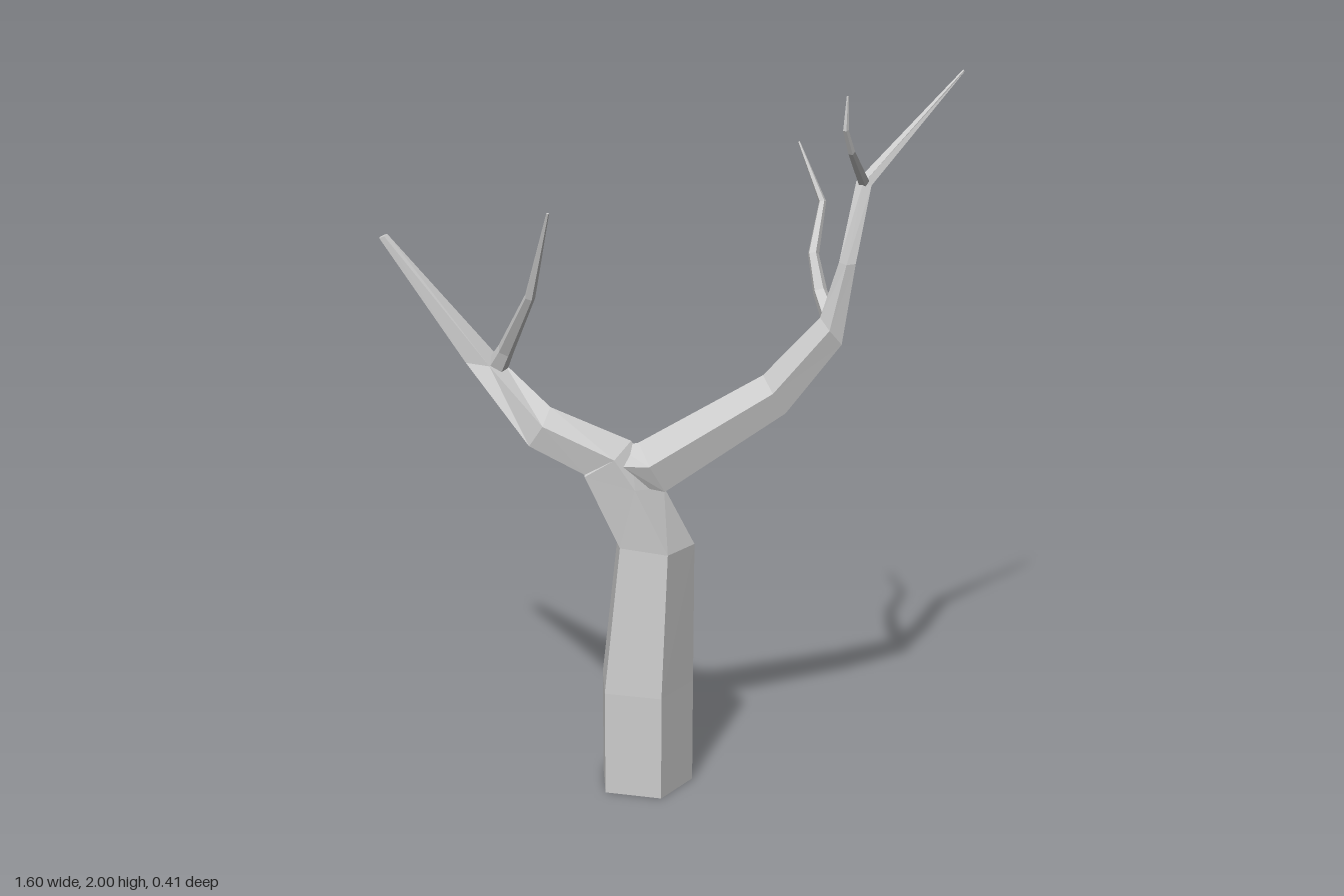
import * as THREE from 'three';

const SIDES = 5;
const material = new THREE.MeshStandardMaterial({ color: 0xcccccc, flatShading: true });

// Joins rings of five points into a closed, faceted limb
function skin(name, rings) {
  const points = rings.flat();
  const index = [];
  const last = (rings.length - 1) * SIDES;
  for (let i = 0; i < rings.length - 1; i++) {
    for (let j = 0; j < SIDES; j++) {
      const a = i * SIDES + j, b = i * SIDES + (j + 1) % SIDES;
      index.push(a, a + SIDES, b, b, a + SIDES, b + SIDES);
    }
  }
  for (let j = 1; j < SIDES - 1; j++) {
    index.push(0, j, j + 1, last, last + j + 1, last + j);
  }
  const indexed = new THREE.BufferGeometry().setFromPoints(points);
  indexed.setIndex(index);
  const geometry = indexed.toNonIndexed();
  geometry.computeVertexNormals();
  const mesh = new THREE.Mesh(geometry, material);
  mesh.name = name;
  return mesh;
}

// Pentagon between a ridge point and the flat side opposite it.
// A negative half width mirrors the ring for limbs that lean to +x.
function ridgeRing([ridgeX, ridgeY, flatX, flatY, z, halfWidth]) {
  const ring = [];
  const low = Math.cos(Math.PI * 0.8), wide = Math.sin(Math.PI * 0.4);
  for (let j = 0; j < SIDES; j++) {
    const angle = j / SIDES * Math.PI * 2;
    const t = (Math.cos(angle) - low) / (1 - low);
    ring.push(new THREE.Vector3(
      flatX + (ridgeX - flatX) * t,
      flatY + (ridgeY - flatY) * t,
      z + halfWidth * Math.sin(angle) / wide));
  }
  return ring;
}

const limb = (name, rows) => skin(name, rows.map(ridgeRing));

// Thin tapering twig along points of [x, y, z, radius]
function twig(name, rows) {
  const centers = rows.map(([x, y, z]) => new THREE.Vector3(x, y, z));
  const normal = new THREE.Vector3(1, 0, 0);
  const rings = rows.map((row, i) => {
    const before = centers[Math.max(i - 1, 0)];
    const after = centers[Math.min(i + 1, rows.length - 1)];
    const tangent = after.clone().sub(before).normalize();
    normal.addScaledVector(tangent, -normal.dot(tangent)).normalize();
    const side = normal.clone().cross(tangent);
    return Array.from({ length: SIDES }, (_, j) => {
      const angle = j / SIDES * Math.PI * 2;
      return centers[i].clone()
        .addScaledVector(normal, row[3] * Math.cos(angle))
        .addScaledVector(side, row[3] * Math.sin(angle));
    });
  });
  return skin(name, rings);
}

export function createModel() {
  const tree = new THREE.Group();
  tree.name = 'bareTree';

  // Trunk bending into the branch on the -x side
  tree.add(limb('trunkAndRightBranch', [
    [0.05, 0, -0.2, 0, 0.055, 0.133],
    [0.052, 0.3, -0.2, 0.3, 0.055, 0.133],
    [0.055, 0.71, -0.155, 0.725, 0.058, 0.11],
    [-0.03, 0.88, -0.25, 0.93, 0.065, 0.085],
    [-0.12, 1.015, -0.25, 0.935, 0.063, 0.08],
    [-0.34, 1.11, -0.4, 1.01, 0.045, 0.06],
    [-0.465, 1.2, -0.57, 1.21, -0.088, 0.047],
    [-0.778, 1.56, -0.8, 1.55, -0.13, 0.011],
  ]));

  // Longer branch on the +x side, rooted inside the fork
  tree.add(limb('leftBranch', [
    [-0.16, 1.0, -0.12, 0.9, 0.065, -0.068],
    [-0.1, 1.01, -0.03, 0.88, 0.065, -0.068],
    [0.24, 1.2, 0.3, 1.1, 0.075, -0.054],
    [0.39, 1.37, 0.447, 1.3, 0.112, -0.042],
    [0.44, 1.52, 0.483, 1.52, 0.102, -0.033],
    [0.492, 1.725, 0.532, 1.715, 0.025, -0.018],
    [0.796, 2.0, 0.8, 1.995, -0.12, -0.004],
  ]));

  // Twigs
  tree.add(twig('rightBranchTwig', [
    [-0.5, 1.16, -0.09, 0.036],
    [-0.46, 1.25, -0.04, 0.024],
    [-0.392, 1.43, 0.08, 0.015],
    [-0.342, 1.68, 0.17, 0.004],
  ]));
  tree.add(twig('leftBranchLowerTwig', [
    [0.42, 1.36, 0.1, 0.026],
    [0.4, 1.415, 0.01, 0.021],
    [0.385, 1.51, -0.04, 0.016],
    [0.418, 1.635, -0.13, 0.011],
    [0.358, 1.79, -0.2, 0.003],
  ]));
  tree.add(twig('leftBranchUpperTwig', [
    [0.515, 1.715, 0.02, 0.016],
    [0.46, 1.835, 0.17, 0.01],
    [0.44, 1.9, 0.202, 0.008],
    [0.444, 1.99, 0.2, 0.003],
  ]));

  return tree;
}
